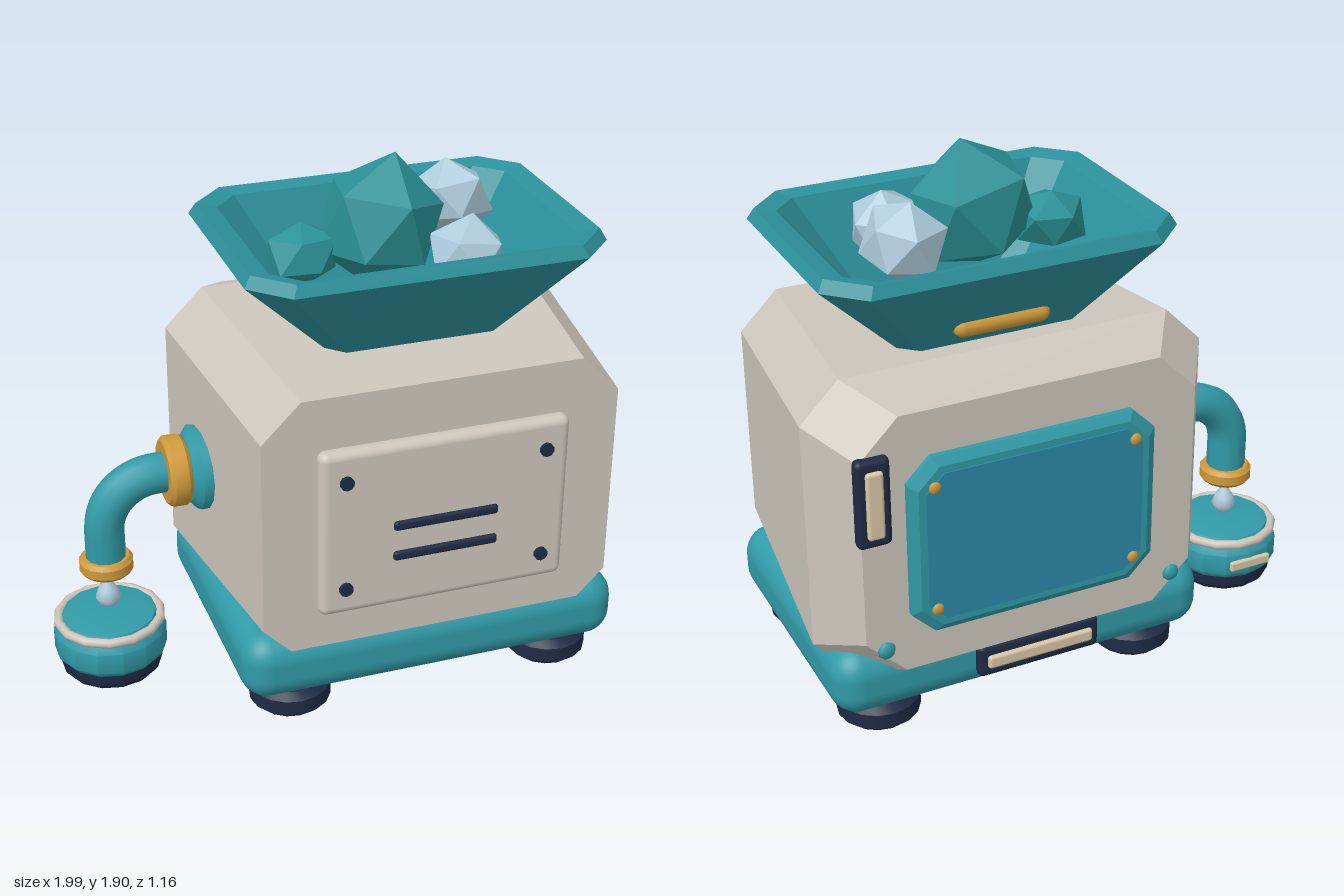
import * as THREE from 'three';
import { toCreasedNormals } from 'three/addons/utils/BufferGeometryUtils.js';
import { RoundedBoxGeometry } from 'three/addons/geometries/RoundedBoxGeometry.js';

const mat = (name, color, flatShading = false) =>
  Object.assign(new THREE.MeshStandardMaterial({ color, flatShading }), { name });

// Chamfered rectangle, counter-clockwise, at depth z
function octagon(cx, cy, hx, hy, c, z) {
  return [[hx, c - hy], [hx, hy - c], [hx - c, hy], [c - hx, hy],
    [-hx, hy - c], [-hx, c - hy], [c - hx, -hy], [hx - c, -hy]]
    .map(([x, y]) => [cx + x, cy + y, z]);
}

// Faceted skin over a list of equal rings, running towards +z
function loft(rings, capped = true) {
  const p = [];
  const n = rings[0].length;
  for (let i = 0; i < rings.length - 1; i++) {
    for (let j = 0; j < n; j++) {
      const k = (j + 1) % n;
      const [a, b, c, d] = [rings[i][j], rings[i][k], rings[i + 1][k], rings[i + 1][j]];
      p.push(...a, ...b, ...c, ...a, ...c, ...d);
    }
  }
  if (capped) {
    const first = rings[0], last = rings[rings.length - 1];
    for (let j = 1; j < n - 1; j++) {
      p.push(...first[0], ...first[j + 1], ...first[j]);
      p.push(...last[0], ...last[j], ...last[j + 1]);
    }
  }
  const g = new THREE.BufferGeometry();
  g.setAttribute('position', new THREE.Float32BufferAttribute(p, 3));
  g.computeVertexNormals();
  return g;
}

// Turned part from [radius, height] pairs
const turned = (points, sides = 16) => toCreasedNormals(
  new THREE.LatheGeometry(points.map(([r, y]) => new THREE.Vector2(r, y)), sides), 0.7);

// Irregular stone: icosahedron whose corners are pushed in and out by a rule
function stone(seed) {
  const g = new THREE.IcosahedronGeometry(1, 0);
  const pos = g.attributes.position;
  const v = new THREE.Vector3();
  for (let i = 0; i < pos.count; i++) {
    v.fromBufferAttribute(pos, i);
    const s = 1 + 0.1 * Math.sin(v.x * 5 + v.y * 7 + v.z * 3 + seed);
    pos.setXYZ(i, v.x * s, v.y * s, v.z * s);
  }
  g.computeVertexNormals();
  return g;
}

export function createModel() {
  const root = new THREE.Group();
  const shell = mat('warm grey', 0xcdc6bc);
  const teal = mat('teal', 0x319ba8);
  const hopperTeal = mat('hopper teal', 0x2c919b);
  const stoneTeal = mat('stone teal', 0x2a9196, true);
  const blue = mat('panel blue', 0x2a89a8);
  const navy = mat('navy', 0x202a44);
  const gold = mat('gold', 0xcf9a3c);
  const ice = mat('pale blue', 0xaecbdc);
  const tan = mat('tan', 0xdac8a6);
  const iceStone = mat('pale stone', 0xaecbdc, true);

  const add = (name, geometry, material, x = 0, y = 0, z = 0) => {
    const m = new THREE.Mesh(geometry, material);
    m.name = name;
    m.position.set(x, y, z);
    root.add(m);
    return m;
  };
  const cx = 0.26;

  // Housing, widest near the back
  add('housing', loft([
    octagon(cx, 0.77, 0.61, 0.48, 0.14, -0.525),
    octagon(cx, 0.772, 0.732, 0.552, 0.138, -0.34),
    octagon(cx, 0.77, 0.64, 0.5, 0.138, 0.52),
  ]), shell);

  // Base and feet
  add('base', new RoundedBoxGeometry(1.41, 0.255, 1.03, 5, 0.1), teal, cx, 0.2275, 0.02);
  const foot = turned([[0, 0], [0.12, 0], [0.147, 0.025], [0.147, 0.08], [0.12, 0.105], [0, 0.105]]);
  for (const x of [-0.24, 0.76]) for (const z of [-0.32, 0.365]) add('foot', foot, navy, x, 0, z);

  // Front panel with slots and screws
  add('frontPanel', new RoundedBoxGeometry(0.9, 0.63, 0.07, 3, 0.03), shell, cx, 0.765, 0.53);
  for (const y of [0.77, 0.652]) {
    add('slot', new RoundedBoxGeometry(0.38, 0.036, 0.03, 2, 0.012), navy, cx, y, 0.563);
  }
  const screw = new THREE.CylinderGeometry(0.025, 0.025, 0.03, 10).rotateX(Math.PI / 2);
  for (const x of [-0.1, 0.62]) for (const y of [0.555, 0.97]) {
    add('frontScrew', screw, navy, x, y, 0.563);
  }

  // Back panel with bevelled frame, inset sheet and screws
  add('backFrame', loft([
    octagon(0, 0, 0.45, 0.33, 0.085, 0),
    octagon(0, 0, 0.45, 0.33, 0.085, 0.025),
    octagon(0, 0, 0.42, 0.3, 0.075, 0.045),
  ]).rotateY(Math.PI), teal, 0.265, 0.76, -0.52);
  add('backSheet', loft([
    octagon(0, 0, 0.395, 0.275, 0.065, 0), octagon(0, 0, 0.395, 0.275, 0.065, 0.006),
  ]).rotateY(Math.PI), blue, 0.265, 0.76, -0.564);
  const stud = new THREE.SphereGeometry(0.022, 10, 6).scale(1, 1, 0.5);
  for (const x of [-0.1, 0.63]) for (const y of [0.53, 0.99]) add('backScrew', stud, gold, x, y, -0.57);
  const bolt = new THREE.SphereGeometry(0.032, 10, 6).scale(1, 1, 0.6);
  for (const x of [-0.28, 0.8]) add('cornerBolt', bolt, teal, x, 0.39, -0.525);

  // Small back handles: navy plate with a tan grip
  const grip = (name, w, h, x, y, z) => {
    add(name + 'Plate', new RoundedBoxGeometry(w, h, 0.05, 2, 0.02), navy, x, y, z);
    add(name + 'Grip', new RoundedBoxGeometry(w - 0.06, h - 0.075, 0.03, 2, 0.012), tan, x, y, z - 0.025);
  };
  grip('sideHandle', 0.12, 0.32, 0.83, 0.97, -0.53);
  grip('lowerHandle', 0.46, 0.125, 0.235, 0.23, -0.505);

  // Hopper: outer wall, rim, inner wall, open below
  const ring = (hx, hz, c, y) => octagon(0, 0, hx, hz, c, y);
  add('hopper', loft([
    ring(0.325, 0.272, 0.06, 1.305), ring(0.637, 0.467, 0.125, 1.62), ring(0.615, 0.447, 0.12, 1.66),
    ring(0.545, 0.395, 0.09, 1.645), ring(0.32, 0.267, 0.055, 1.305),
  ], false).rotateX(-Math.PI / 2), hopperTeal, cx, 0, 0.02);
  add('hopperHandle', new THREE.CapsuleGeometry(0.034, 0.28, 4, 10).rotateZ(Math.PI / 2),
    gold, 0.265, 1.395, -0.302);

  // Stones: x, y, z, three radii, turn, material
  [
    [0.2, 1.65, 0.07, 0.23, 0.24, 0.2, 0.4, stoneTeal],
    [-0.08, 1.57, 0.03, 0.13, 0.12, 0.13, 1.3, stoneTeal],
    [0.52, 1.65, -0.11, 0.145, 0.14, 0.14, 2.1, iceStone],
    [0.455, 1.57, 0.22, 0.145, 0.13, 0.14, 0.9, iceStone],
  ].forEach(([x, y, z, sx, sy, sz, turn, m], i) => {
    const s = add('stone', stone(i * 2).rotateZ(0.35).rotateY(turn), m, x, y, z);
    s.scale.set(sx, sy, sz);
  });

  // Spout: flange, collar, bent pipe and nozzle
  const px = -0.795, pz = -0.05;
  const sideways = (points) => turned(points, 14).rotateZ(Math.PI / 2);
  add('flange', sideways([[0, -0.07], [0.155, -0.07], [0.155, 0], [0.12, 0.03], [0, 0.03]]), teal, -0.46, 0.765, pz);
  add('collar', sideways([[0, -0.04], [0.115, -0.04], [0.13, -0.025], [0.13, 0.025], [0.115, 0.04], [0, 0.04]]),
    gold, -0.53, 0.765, pz);
  const path = new THREE.CurvePath();
  const p = (x, y) => new THREE.Vector3(x, y, 0);
  path.add(new THREE.LineCurve3(p(-0.5, 0.765), p(-0.6, 0.765)));
  path.add(new THREE.CubicBezierCurve3(p(-0.6, 0.765), p(-0.71, 0.765), p(px, 0.68), p(px, 0.57)));
  path.add(new THREE.LineCurve3(p(px, 0.57), p(px, 0.42)));
  add('pipe', new THREE.TubeGeometry(path, 24, 0.073, 12), teal, 0, 0, pz);
  add('nozzle', turned([[0, 0], [0.085, 0], [0.098, 0.015], [0.098, 0.05], [0.085, 0.065], [0, 0.065]]),
    gold, px, 0.4, pz);

  // Falling drop
  add('drop', new THREE.LatheGeometry([[0, 0], [0.03, 0.01], [0.047, 0.042], [0.035, 0.075], [0.014, 0.105], [0, 0.135]]
    .map(([r, y]) => new THREE.Vector2(r, y)), 12), ice, px, 0.248, pz);

  // Collecting jar
  add('jarFoot', turned([[0, 0], [0.17, 0], [0.185, 0.02], [0.185, 0.065], [0, 0.065]], 14), navy, px, 0, pz);
  add('jarBody', turned([[0, 0.055], [0.18, 0.055], [0.205, 0.085], [0.205, 0.165], [0.185, 0.195],
    [0.17, 0.225], [0.15, 0.23], [0, 0.23]], 14), teal, px, 0, pz);
  add('jarRing', new THREE.TorusGeometry(0.187, 0.018, 8, 14).rotateX(Math.PI / 2), shell, px, 0.207, pz);
  add('jarLabel', new RoundedBoxGeometry(0.17, 0.04, 0.02, 2, 0.008), tan, px, 0.13, -0.255);

  return root;
}
